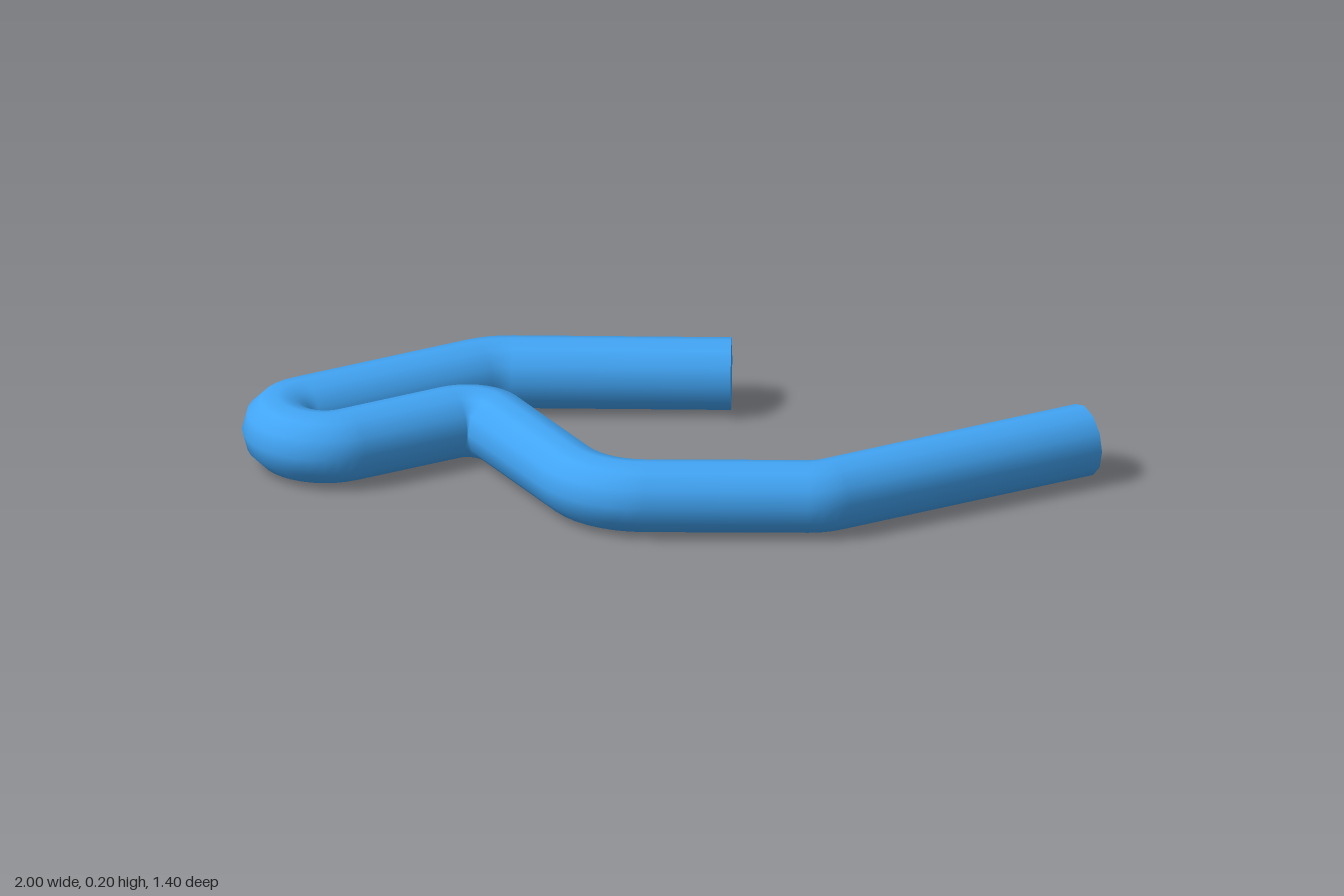
import * as THREE from 'three';

const RADIUS = 0.1;
const SIDES = 12;

// Centreline corners on the ground plan: x, z, bend radius
const CORNERS = [
  [1, 0.6, 0],
  [0.18, 0.6, 0.13],
  [-0.355, 0.295, 0.23],
  [-0.355, -0.345, 0.1],
  [-0.9, -0.345, 0.1275],
  [-0.9, -0.6, 0.1275],
  [-0.18, -0.6, 0.2],
  [0.3825, -0.27, 0],
];

// Stations {p, d}: centre point and unit direction, with every corner rounded to an arc
function bentPath(corners) {
  const pts = corners.map(([x, z]) => new THREE.Vector2(x, z));
  const dirs = pts.slice(1).map((p, i) => p.clone().sub(pts[i]).normalize());
  const stations = [{ p: pts[0], d: dirs[0] }];
  for (let i = 1; i < pts.length - 1; i++) {
    const u = dirs[i - 1], v = dirs[i], R = corners[i][2];
    const turn = Math.atan2(u.cross(v), u.dot(v));
    const side = Math.sign(turn);
    const toCentre = (d) => new THREE.Vector2(-d.y, d.x).multiplyScalar(side * R);
    const centre = pts[i].clone()
      .addScaledVector(u, -R * Math.tan(Math.abs(turn) / 2))
      .add(toCentre(u));
    const steps = Math.ceil(Math.abs(turn) / (Math.PI / 18) - 1e-6);
    for (let k = 0; k <= steps; k++) {
      const d = u.clone().rotateAround(new THREE.Vector2(), (turn * k) / steps);
      stations.push({ p: centre.clone().sub(toCentre(d)), d });
    }
  }
  stations.push({ p: pts[pts.length - 1], d: dirs[dirs.length - 1] });
  return stations;
}

// Round section swept along the stations, with smooth normals
function sweepGeometry(stations) {
  const pos = [], nor = [], idx = [];
  stations.forEach(({ p, d }, i) => {
    for (let j = 0; j <= SIDES; j++) {
      const a = (j / SIDES) * Math.PI * 2;
      const n = [Math.cos(a) * d.y, Math.sin(a), -Math.cos(a) * d.x];
      nor.push(...n);
      pos.push(p.x + RADIUS * n[0], RADIUS + RADIUS * n[1], p.y + RADIUS * n[2]);
      if (i > 0 && j > 0) {
        const b = i * (SIDES + 1) + j, a0 = b - SIDES - 1;
        idx.push(a0 - 1, a0, b - 1, a0, b, b - 1);
      }
    }
  });
  const g = new THREE.BufferGeometry();
  g.setAttribute('position', new THREE.Float32BufferAttribute(pos, 3));
  g.setAttribute('normal', new THREE.Float32BufferAttribute(nor, 3));
  g.setIndex(idx);
  return g;
}

export function createModel() {
  const group = new THREE.Group();
  group.name = 'bentRod';
  const blue = new THREE.MeshStandardMaterial({ color: 0x42a5f5 });
  const stations = bentPath(CORNERS);

  // Bent rod body
  const rod = new THREE.Mesh(sweepGeometry(stations), blue);
  rod.name = 'rod';
  group.add(rod);

  // Flat end caps, each facing away from the rod
  const addCap = (name, { p, d }, sign) => {
    const cap = new THREE.Mesh(new THREE.CircleGeometry(RADIUS, SIDES), blue);
    cap.name = name;
    cap.position.set(p.x, RADIUS, p.y);
    cap.rotation.y = Math.atan2(sign * d.x, sign * d.y);
    group.add(cap);
  };
  addCap('frontEndCap', stations[0], -1);
  addCap('backEndCap', stations[stations.length - 1], 1);

  return group;
}
